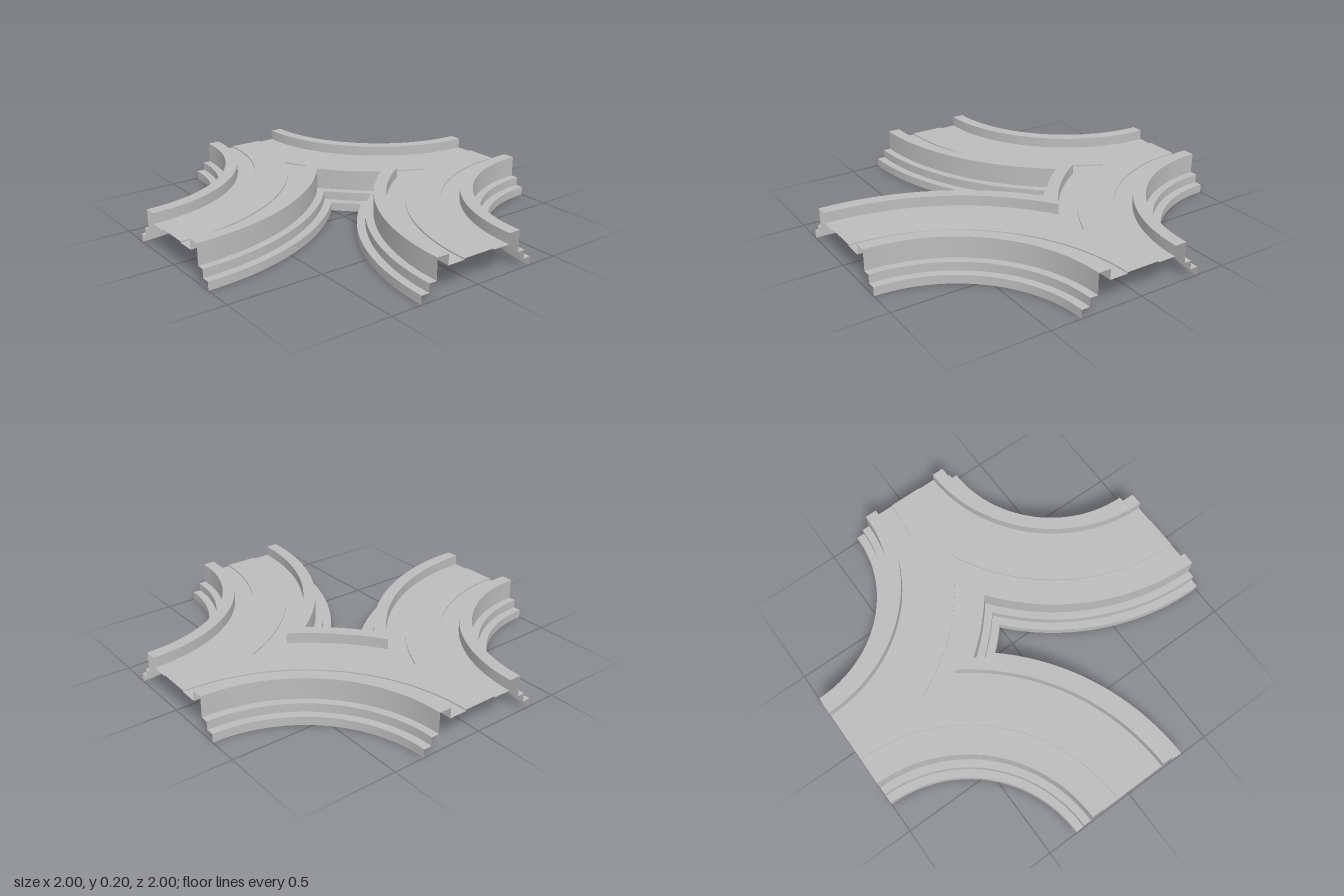
import * as THREE from 'three';

const SEGMENTS = 24;
const stone = new THREE.MeshStandardMaterial({ color: 0xbcbcbc, side: THREE.DoubleSide });
stone.name = 'grey stone';

// Half cross-sections: [distance from the lane centre line, height]
const WALL = [[0.336, 0], [0.336, 0.045], [0.293, 0.045], [0.293, 0.09], [0.252, 0.09],
  [0.252, 0.2], [0.187, 0.2], [0.187, 0.145]];
const GUTTER = [[0.187, 0.145], [0.09, 0.145], [0.09, 0.152]];
const ROAD = [[-0.09, 0.152], [0, 0.152], [0.09, 0.152]];

const toInner = (half) => half.map(([d, y]) => [1 - d, y]);
const toOuter = (half) => half.map(([d, y]) => [1 + d, y]).reverse();

// Sweeps a [radius, height] profile round a quarter bend, mitred where bends meet
function sweep(name, profile, bend) {
  const { sx, sz, clipStart, clipEnd } = bend;
  const positions = [], index = [];
  const addRing = ([r, y]) => {
    const start = clipStart && r > 1 ? Math.acos(1 / r) : 0;
    const end = clipEnd && r > 1 ? Math.asin(1 / r) : Math.PI / 2;
    for (let i = 0; i <= SEGMENTS; i++) {
      const a = start + (end - start) * i / SEGMENTS;
      positions.push(sx * (r * Math.sin(a) - 1), y, sz * (r * Math.cos(a) - 1));
    }
  };
  // Each strip has its own vertices so the steps stay sharp
  for (let k = 0; k < profile.length - 1; k++) {
    const base = positions.length / 3;
    addRing(profile[k]);
    addRing(profile[k + 1]);
    for (let i = 0; i < SEGMENTS; i++) {
      const a = base + i, b = a + SEGMENTS + 1;
      if (sx * sz > 0) index.push(a, b, a + 1, b, b + 1, a + 1);
      else index.push(a, a + 1, b, b, a + 1, b + 1);
    }
  }
  const geometry = new THREE.BufferGeometry();
  geometry.setAttribute('position', new THREE.Float32BufferAttribute(positions, 3));
  geometry.setIndex(index);
  geometry.computeVertexNormals();
  const mesh = new THREE.Mesh(geometry, stone);
  mesh.name = name;
  return mesh;
}

export function createModel() {
  const model = new THREE.Group();
  model.name = 'roadJunction';

  // Three quarter bends, each turning round one corner of the square
  const bends = [
    { name: 'backRightBend', sx: 1, sz: 1, clipStart: false, clipEnd: true },
    { name: 'backLeftBend', sx: -1, sz: 1, clipStart: true, clipEnd: true },
    { name: 'frontLeftBend', sx: -1, sz: -1, clipStart: true, clipEnd: false },
  ];
  for (const bend of bends) {
    const group = new THREE.Group();
    group.name = bend.name;
    group.add(
      sweep('innerWall', toInner(WALL), bend),
      sweep('innerGutter', toInner(GUTTER), bend),
      sweep('roadway', ROAD.map(([d, y]) => [1 + d, y]), bend),
      sweep('outerGutter', toOuter(GUTTER), bend),
      sweep('outerWall', toOuter(WALL), bend),
    );
    model.add(group);
  }
  return model;
}
